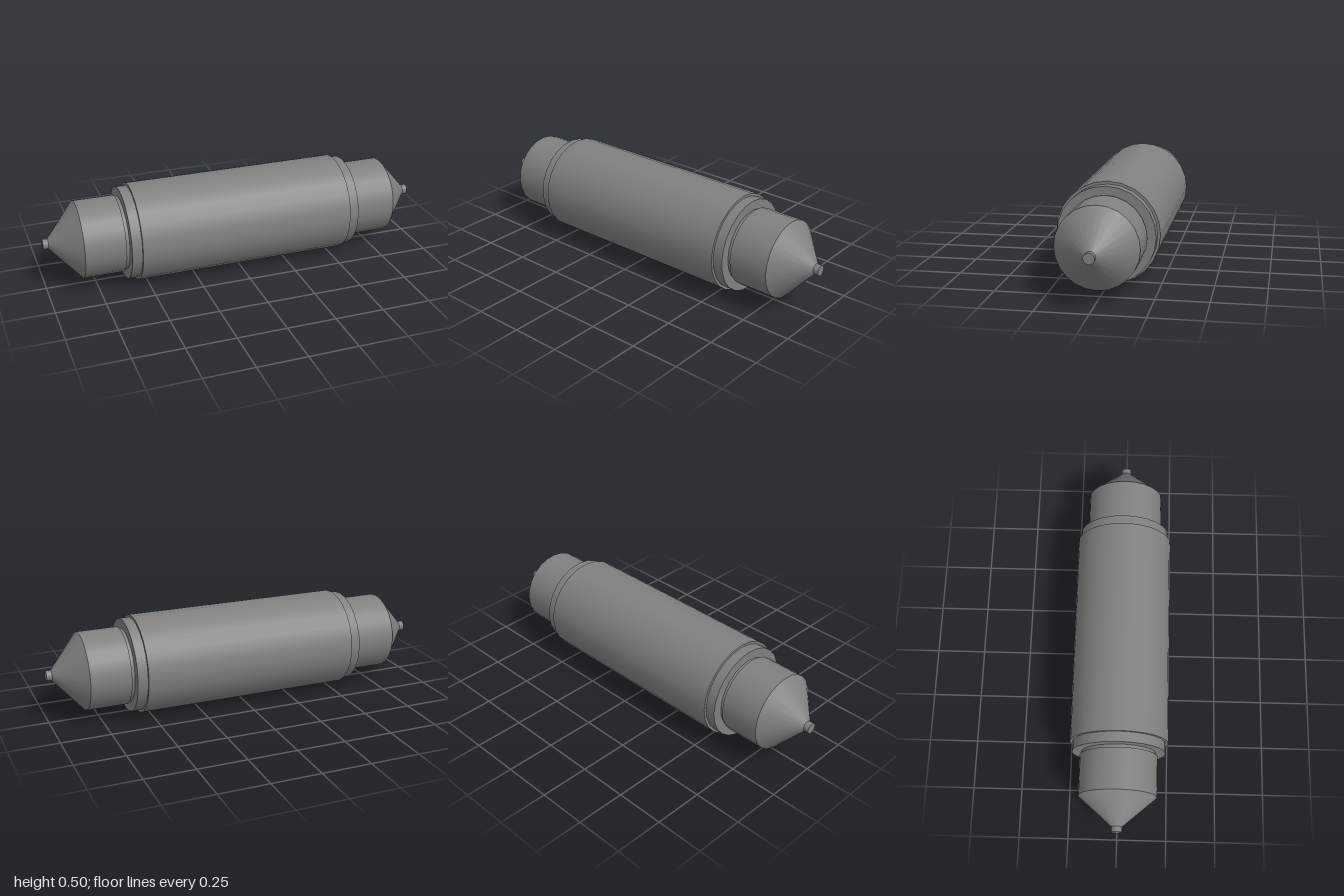
import * as THREE from 'three';

const SIDES = 24;
const AXIS_Y = 0.249;

export function createModel() {
  const model = new THREE.Group();
  model.name = 'capsule';
  const grey = new THREE.MeshStandardMaterial({ color: 0x808080 });
  grey.name = 'grey metal';

  // Round section lying along x, from x0 (radius r0) to x1 (radius r1)
  function section(name, x0, x1, r0, r1 = r0) {
    const geometry = new THREE.CylinderGeometry(r1, r0, x1 - x0, SIDES);
    geometry.rotateZ(-Math.PI / 2);
    geometry.translate((x0 + x1) / 2, 0, 0);
    const mesh = new THREE.Mesh(geometry, grey);
    mesh.name = name;
    return mesh;
  }

  // Main barrel
  const body = section('body', -0.553, 0.553, 0.248);
  body.position.y = AXIS_Y;
  model.add(body);

  // Stepped end caps, the second turned half way round
  for (const side of ['left', 'right']) {
    const end = new THREE.Group();
    end.name = side + 'End';
    end.add(
      section('collar', 0.553, 0.604, 0.235),
      section('neck', 0.604, 0.621, 0.187),
      section('cap', 0.621, 0.826, 0.196),
      section('cone', 0.826, 0.973, 0.196, 0.026),
      section('tip', 0.973, 1, 0.026)
    );
    end.position.y = AXIS_Y;
    if (side === 'right') end.rotation.y = Math.PI;
    model.add(end);
  }
  return model;
}
